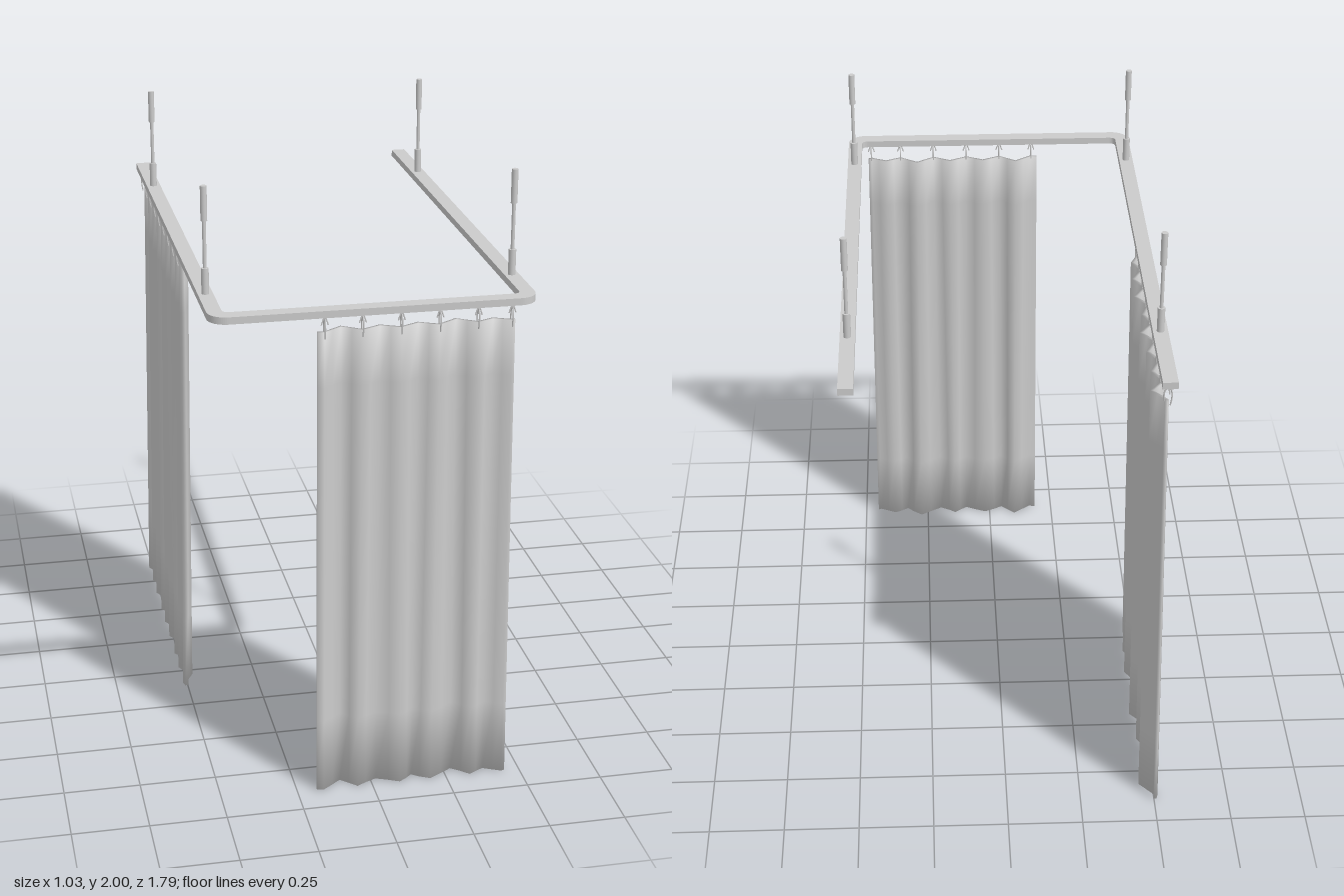
import * as THREE from 'three';

const grey = new THREE.MeshStandardMaterial({ color: 0xcccccc });
const RAIL_X = 0.488, RAIL_Z = 0.87, RAIL_TOP = 1.657, RAIL_H = 0.023;
const CLOTH_TOP = 1.58, THICK = 0.011;

function add(parent, geometry, name, x = 0, y = 0, z = 0) {
  const mesh = new THREE.Mesh(geometry, grey);
  mesh.name = name;
  mesh.position.set(x, y, z);
  parent.add(mesh);
  return mesh;
}

// U-shaped ceiling rail with rounded corners
function railGeometry() {
  const half = 0.024, xo = RAIL_X + half, xi = RAIL_X - half;
  const zo = RAIL_Z + half, zi = RAIL_Z - half, back = -0.897, ro = 0.06, ri = 0.022;
  const s = new THREE.Shape();
  s.moveTo(-xo, back);
  s.lineTo(-xi, back);
  s.lineTo(-xi, zi - ri);
  s.quadraticCurveTo(-xi, zi, -xi + ri, zi);
  s.lineTo(xi - ri, zi);
  s.quadraticCurveTo(xi, zi, xi, zi - ri);
  s.lineTo(xi, back);
  s.lineTo(xo, back);
  s.lineTo(xo, zo - ro);
  s.absarc(xo - ro, zo - ro, ro, 0, Math.PI / 2, false);
  s.lineTo(-xo + ro, zo);
  s.absarc(-xo + ro, zo - ro, ro, Math.PI / 2, Math.PI, false);
  s.lineTo(-xo, back);
  const g = new THREE.ExtrudeGeometry(s, { depth: RAIL_H, bevelEnabled: false, curveSegments: 8 });
  return g.rotateX(Math.PI / 2).translate(0, RAIL_TOP, 0);
}

// Pleated cloth as a thin closed shell: u runs along the rail, z points outward
function clothGeometry(hooks, top, bottom) {
  const cols = [{ u: top[0], fold: 0.1 }];
  for (let i = 0; i < hooks.length - 1; i++) {
    const depth = 0.8 + 0.22 * Math.sin(i * 2.4 + 1.2);
    for (let k = 0; k < 4; k++) {
      const t = k / 4;
      cols.push({ u: hooks[i] + (hooks[i + 1] - hooks[i]) * t, fold: depth * (1 - Math.abs(2 * t - 1)) });
    }
  }
  cols.push({ u: hooks[hooks.length - 1], fold: 0 }, { u: top[1], fold: 0.1 });

  const rows = [0, 0.25, 0.5, 0.82, 1.15, 1.4, CLOTH_TOP];
  const n = cols.length, ring = 2 * n, pos = [], idx = [];
  for (const y of rows) {
    const drop = 1 - y / CLOTH_TOP;
    const a = THREE.MathUtils.lerp(top[0], bottom[0], drop);
    const b = THREE.MathUtils.lerp(top[1], bottom[1], drop);
    for (let k = 0; k < ring; k++) {
      const outer = k < n, c = cols[outer ? k : ring - 1 - k];
      const t = (c.u - top[0]) / (top[1] - top[0]);
      const sway = 0.012 * drop * Math.sin(t * 19) * Math.sin(Math.PI * t);
      const z = 0.026 * drop - THICK / 2 - (0.041 + 0.008 * drop) * c.fold;
      pos.push(a + (b - a) * t + sway, y, z + (outer ? THICK / 2 : -THICK / 2));
    }
  }
  const quad = (p, q, r, s) => idx.push(p, q, r, p, r, s);
  const last = (rows.length - 1) * ring;
  for (let j = 0; j < last; j += ring)
    for (let k = 0; k < ring; k++) {
      const m = (k + 1) % ring;
      quad(j + k, j + m, j + ring + m, j + ring + k);
    }
  for (let k = 0; k < n - 1; k++) {
    const p = ring - 1 - k;
    quad(last + k, last + k + 1, last + p - 1, last + p);
    quad(k + 1, k, p, p - 1);
  }
  const g = new THREE.BufferGeometry();
  g.setAttribute('position', new THREE.Float32BufferAttribute(pos, 3));
  g.setIndex(idx);
  g.computeVertexNormals();
  // Soften the hems by leaning their normals up and down
  const normal = g.attributes.normal, v = new THREE.Vector3();
  for (let i = 0; i < normal.count; i++) {
    v.fromBufferAttribute(normal, i);
    if (i < ring) v.y -= 0.6;
    else if (i >= last) v.y += 0.35;
    v.normalize();
    normal.setXYZ(i, v.x, v.y, v.z);
  }
  return g;
}

function wire(points, radius, steps) {
  const curve = new THREE.CatmullRomCurve3(points.map(p => new THREE.Vector3(...p)));
  return new THREE.TubeGeometry(curve, steps, radius, 5, false);
}

// Curtain with its row of hooks
function curtain(name, hooks, top, bottom) {
  const g = new THREE.Group();
  g.name = name;
  add(g, clothGeometry(hooks, top, bottom), 'cloth');
  const hookWire = wire([[0, 1.56, 0.005], [0, 1.585, 0.009], [0, 1.612, 0.007],
    [0, 1.624, 0], [0, 1.608, -0.014], [0, 1.575, -0.015]], 0.0025, 14);
  const hanger = wire([[-0.011, 1.604, 0], [-0.005, 1.622, 0], [0, 1.636, 0],
    [0.005, 1.622, 0], [0.011, 1.604, 0]], 0.0022, 10);
  for (const u of hooks) {
    add(g, hookWire, 'curtainHook', u);
    add(g, hanger, 'hookHanger', u);
  }
  return g;
}

// Ceiling suspension: lower socket, thin rod, upper socket
function suspension(x, z) {
  const g = new THREE.Group();
  g.name = 'suspensionRod';
  g.position.set(x, 0, z);
  const parts = [['lowerSocket', 0.012, RAIL_TOP - 0.002, 1.74], ['rod', 0.006, 1.735, 1.895], ['upperSocket', 0.0105, 1.89, 2]];
  for (const [name, r, y0, y1] of parts)
    add(g, new THREE.CylinderGeometry(r, r, y1 - y0, 16), name, 0, (y0 + y1) / 2, 0);
  return g;
}

export function createModel() {
  const model = new THREE.Group();
  model.name = 'curtainRailSet';
  add(model, railGeometry(), 'rail');
  for (const x of [-RAIL_X, RAIL_X])
    for (const z of [0.66, -0.583]) model.add(suspension(x, z));

  const front = curtain('frontCurtain', [-0.156, -0.038, 0.083, 0.204, 0.325, 0.432],
    [-0.177, 0.443], [-0.185, 0.451]);
  front.position.z = RAIL_Z;
  model.add(front);

  const side = curtain('sideCurtain', [-0.867, -0.759, -0.638, -0.517, -0.402, -0.281, -0.161, -0.041, 0.071],
    [-0.885, 0.09], [-0.892, 0.11]);
  side.rotation.y = -Math.PI / 2;
  side.position.x = -RAIL_X;
  model.add(side);
  return model;
}
